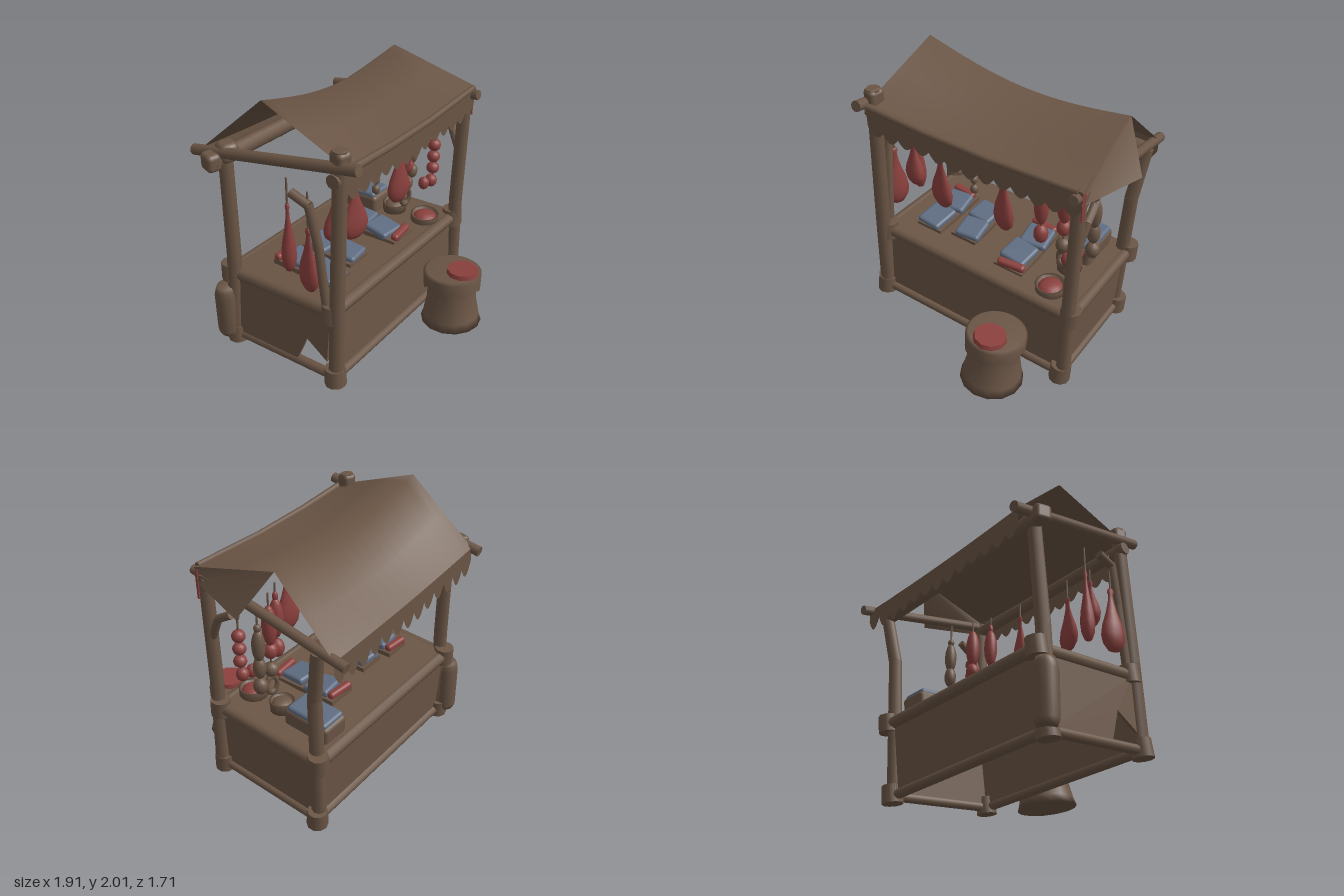
import * as THREE from 'three';
import { RoundedBoxGeometry } from 'three/addons/geometries/RoundedBoxGeometry.js';

const mat = (name, color) => new THREE.MeshStandardMaterial({ name, color, side: THREE.DoubleSide });
const v = (x, y, z) => new THREE.Vector3(x, y, z);

export function createModel() {
  const wood = mat('brown wood and canvas', 0x6a5545);
  const meat = mat('red meat', 0x8a403d);
  const fish = mat('blue fish', 0x5f6d82);
  const root = new THREE.Group();
  root.name = 'marketStall';

  // the stall stands turned and slightly tilted, so it has its own frame
  const U = v(0.953, -0.06, -0.296).normalize();
  const V = v(0.341, 0.077, 0.936).normalize();
  const W = V.clone().cross(U).normalize();
  V.copy(U).cross(W);
  const stall = new THREE.Group();
  stall.name = 'counter';
  stall.quaternion.setFromRotationMatrix(new THREE.Matrix4().makeBasis(U, W, V));
  stall.position.set(0.015, 0.14, 0.09);
  root.add(stall);

  const add = (parent, name, geo, m, x = 0, y = 0, z = 0) => {
    const mesh = new THREE.Mesh(geo, m);
    mesh.name = name;
    mesh.position.set(x, y, z);
    parent.add(mesh);
    return mesh;
  };
  // log through a list of points
  const log = (parent, name, pts, r0, r1 = r0) => {
    const n = pts.length - 1;
    for (let i = 0; i < n; i++) {
      const d = pts[i + 1].clone().sub(pts[i]);
      const a = r0 + (r1 - r0) * i / n, b = r0 + (r1 - r0) * (i + 1) / n;
      const mesh = add(parent, name, new THREE.CylinderGeometry(b, a, d.length() + r0 * 0.3, 10), wood);
      mesh.position.copy(pts[i]).addScaledVector(d, 0.5);
      mesh.quaternion.setFromUnitVectors(v(0, 1, 0), d.normalize());
    }
  };
  // surface lofted through rows, each row a function of t in 0..1
  const sheet = (parent, name, n, rows) => {
    const pos = [], idx = [];
    rows.forEach((f) => { for (let i = 0; i <= n; i++) pos.push(...f(i / n).toArray()); });
    for (let r = 0; r < rows.length - 1; r++) {
      for (let i = 0; i < n; i++) {
        const a = r * (n + 1) + i, b = a + n + 1;
        idx.push(a, b, a + 1, a + 1, b, b + 1);
      }
    }
    const g = new THREE.BufferGeometry();
    g.setAttribute('position', new THREE.Float32BufferAttribute(pos, 3));
    g.setIndex(idx);
    g.computeVertexNormals();
    return add(parent, name, g, wood);
  };

  // counter: corner collars, rails, panels and top
  const HX = 0.74, HZ = 0.43;
  for (const sx of [-1, 1]) for (const sz of [-1, 1]) for (const w of [0, 0.505]) {
    add(stall, 'postCollar', new THREE.CylinderGeometry(0.07, 0.074, 0.125, 10), wood, sx * HX, w, sz * HZ);
  }
  for (const [w, r] of [[-0.01, 0.034], [0.5, 0.045]]) {
    for (const s of [-1, 1]) {
      log(stall, 'longRail', [v(-HX, w, s * HZ), v(HX, w, s * HZ)], r);
      log(stall, 'endRail', [v(s * HX, w, -HZ), v(s * HX, w, HZ)], r);
    }
  }
  for (const s of [-1, 1]) {
    add(stall, 'longPanel', new THREE.BoxGeometry(1.44, 0.5, 0.025), wood, 0, 0.245, s * 0.42);
  }
  add(stall, 'leftPanel', new THREE.BoxGeometry(0.025, 0.5, 0.84), wood, 0.73, 0.245, 0);
  const torn = new THREE.Shape([[-0.42, 0], [0.12, 0], [0.22, 0.22], [0.38, 0.1], [0.42, 0.48], [-0.42, 0.48]]
    .map(([x, y]) => new THREE.Vector2(x, y)));
  add(stall, 'tornPanel', new THREE.ExtrudeGeometry(torn, { depth: 0.02, bevelEnabled: false }), wood, -0.74, 0, 0)
    .rotation.y = -Math.PI / 2;
  add(stall, 'counterTop', new THREE.BoxGeometry(1.46, 0.04, 0.86), wood, 0, 0.52, 0);

  // trays with goods laid from back to front: [material, length]
  const tray = (u, z, wide, pieces) => {
    const long = pieces.reduce((s, p) => s + p[1], 0);
    const g = new THREE.Group();
    g.name = 'tray';
    g.position.set(u, 0.56, z);
    g.rotation.x = 0.07;
    stall.add(g);
    add(g, 'trayBoard', new THREE.BoxGeometry(wide, 0.035, long), wood);
    let at = -long / 2;
    pieces.forEach(([m, len], i) => {
      const p = add(g, 'trayGoods', new RoundedBoxGeometry(wide * 0.92, 0.055, len * 0.95, 3, 0.022), m,
        (i % 2 ? 0.01 : -0.01), 0.032, at + len / 2);
      p.rotation.set(0.1, 0.1 * (i % 2 ? 1 : -1), 0);
      at += len;
    });
  };
  tray(-0.48, 0.06, 0.2, [[meat, 0.06], [fish, 0.2], [fish, 0.23]]);
  tray(-0.22, 0.06, 0.2, [[fish, 0.2], [fish, 0.2]]);
  tray(0.2, 0.07, 0.22, [[meat, 0.06], [fish, 0.21], [fish, 0.21], [meat, 0.06]]);
  add(stall, 'crate', new RoundedBoxGeometry(0.22, 0.14, 0.36, 2, 0.03), wood, 0.51, 0.59, -0.215);
  add(stall, 'crateFish', new RoundedBoxGeometry(0.2, 0.05, 0.32, 3, 0.022), fish, 0.51, 0.66, -0.215);

  // bowls
  const bowlProfile = [[0, 0], [0.1, 0], [0.105, 0.085], [0.088, 0.085], [0.08, 0.05], [0, 0.05]]
    .map(([x, y]) => new THREE.Vector2(x, y));
  for (const [x, y, z, m, s] of [[0.63, 0.635, 0.19, meat, 1], [0.55, 0.65, -0.06, wood, 0.85]]) {
    add(root, 'bowl', new THREE.LatheGeometry(bowlProfile, 14), wood, x, y, z).scale.setScalar(s);
    add(root, 'bowlFilling', new THREE.SphereGeometry(0.085 * s, 12, 8), m, x, y + 0.06 * s, z).scale.y = 0.45;
  }

  // posts
  log(root, 'backRightPost', [v(-0.835, 0.12, -0.1), v(-0.8, 0.8, -0.1), v(-0.78, 1.6, -0.14)], 0.052, 0.047);
  log(root, 'frontRightPost', [v(-0.555, 0.18, 0.72), v(-0.54, 0.8, 0.71), v(-0.5, 1.87, 0.69)], 0.054, 0.047);
  log(root, 'frontLeftPost', [v(0.87, 0.1, 0.275), v(0.87, 0.8, 0.25), v(0.89, 1.64, 0.235)], 0.05, 0.045);
  log(root, 'backLeftPost', [v(0.57, 0.03, -0.53), v(0.61, 1.05, -0.565), v(0.63, 1.42, -0.64)], 0.052, 0.045);
  add(root, 'postCap', new RoundedBoxGeometry(0.1, 0.12, 0.11, 2, 0.03), wood, -0.5, 1.82, 0.69);

  // roof logs and braces
  log(root, 'backLog', [v(-0.88, 1.54, -0.13), v(0.6, 1.42, -0.62)], 0.055);
  log(root, 'frontLog', [v(-0.56, 1.7, 0.7), v(0.92, 1.58, 0.22)], 0.045);
  log(root, 'rightEndLog', [v(-0.89, 1.54, -0.33), v(-0.485, 1.81, 0.83)], 0.037);
  log(root, 'leftEndLog', [v(0.57, 1.4, -0.84), v(0.92, 1.65, 0.32)], 0.034);
  log(root, 'brace', [v(-0.57, 0.74, 0.64), v(-0.59, 1.2, 0.59), v(-0.62, 1.48, 0.54), v(-0.66, 1.52, 0.42)], 0.03);
  log(root, 'hookArm', [v(0.88, 1.18, 0.23), v(0.87, 1.36, 0.14), v(0.83, 1.42, 0.04)], 0.028);
  add(root, 'logKnot', new RoundedBoxGeometry(0.1, 0.12, 0.12, 2, 0.03), wood, -0.88, 1.54, -0.14);
  add(root, 'postKnot', new RoundedBoxGeometry(0.13, 0.13, 0.13, 2, 0.04), wood, -0.77, 1.58, -0.13);

  // sagging canvas roof, smooth over the ridge
  const line = (a, b, sag) => (t) => a.clone().lerp(b, t).add(v(0, -sag * Math.sin(Math.PI * t), 0));
  const ridge = line(v(-0.66, 2.0, 0.13), v(0.72, 1.84, -0.34), 0.105);
  const front = line(v(-0.5, 1.78, 0.76), v(0.94, 1.69, 0.27), 0.03);
  const back = line(v(-0.86, 1.56, -0.29), v(0.61, 1.42, -0.78), 0.015);
  const mid = (f, g, drop) => (t) => f(t).lerp(g(t), 0.5).add(v(0, -drop * Math.sin(Math.PI * t), 0));
  sheet(root, 'canvasRoof', 16, [back, mid(ridge, back, 0.02), ridge, mid(front, ridge, 0.02), front]);

  // scalloped valances
  const scallop = (f, n, base, deep, uneven) => (t) =>
    f(t).add(v(0, -base - deep * Math.abs(Math.sin(Math.PI * n * t)) - uneven * Math.sin(t * 17), 0));
  sheet(root, 'frontValance', 104, [front, scallop(front, 13, 0.15, 0.05, 0.012)]);
  sheet(root, 'backValance', 104, [scallop(back, 13, 0.1, 0.08, 0.012), back]);
  log(root, 'rolledEave', [front(0.02), front(0.3), front(0.6), front(0.98)], 0.025, 0.02);
  sheet(root, 'sideFlap', 1, [line(v(0.94, 1.69, 0.27), v(0.72, 1.84, -0.34), 0),
    line(v(0.94, 1.59, 0.27), v(0.935, 1.55, -0.24), 0)]);
  add(root, 'redTrim', new THREE.BoxGeometry(0.008, 0.2, 0.025), meat, 0.936, 1.575, 0.254);

  // hanging hams
  const hamProfile = [[0, 0], [0.5, 0.03], [0.88, 0.13], [1, 0.26], [0.85, 0.42], [0.5, 0.62], [0.26, 0.8],
    [0.2, 0.9], [0.3, 0.95], [0.2, 1], [0, 1]].map(([x, y]) => new THREE.Vector2(x, y));
  for (const [x, y0, y1, z, rx, rz] of [[-0.4, 1.11, 1.46, 0.5, 0.085, 0.055], [-0.2, 1.0, 1.41, 0.43, 0.105, 0.045],
    [0.275, 1.02, 1.45, 0.29, 0.09, 0.045], [-0.615, 0.83, 1.3, 0.52, 0.05, 0.088], [-0.63, 0.86, 1.38, 0.32, 0.05, 0.05]]) {
    add(root, 'ham', new THREE.LatheGeometry(hamProfile, 14), meat, x, y0, z).scale.set(rx, y1 - y0, rz);
    log(root, 'hamString', [v(x, y1 - 0.02, z), v(x, 1.56, z)], 0.007);
  }

  // hanging strings: [y, radius, half height, material, side shift]
  const strand = (name, x, z, beads) => {
    log(root, 'string', [v(x, beads[beads.length - 1][0], z), v(x, 1.5, z)], 0.007);
    for (const [y, r, h, m, dx = 0] of beads) {
      add(root, name, new THREE.SphereGeometry(1, 12, 8), m, x + dx, y, z).scale.set(r, h, r);
    }
  };
  strand('bulb', 0.04, 0.34, [[1.47, 0.018, 0.03, wood], [1.39, 0.028, 0.035, wood], [1.31, 0.026, 0.03, wood],
    [1.235, 0.028, 0.035, wood]]);
  strand('sausage', 0.46, 0.13, [[1.4, 0.02, 0.04, meat], [1.24, 0.05, 0.15, meat], [1.01, 0.05, 0.07, meat]]);
  strand('sausage', 0.57, 0.03, [[1.37, 0.03, 0.04, meat], [1.26, 0.052, 0.15, meat], [1.075, 0.05, 0.06, meat],
    [0.93, 0.052, 0.055, wood]]);
  strand('onion', 0.72, -0.09, [[1.35, 0.025, 0.03, wood], [1.22, 0.045, 0.12, wood], [1.06, 0.045, 0.08, wood],
    [0.92, 0.05, 0.06, wood]]);
  strand('redLink', 0.76, 0.1, [[1.36, 0.016, 0.03, wood], [1.215, 0.047, 0.047, meat], [1.12, 0.047, 0.045, meat],
    [1.025, 0.047, 0.045, meat], [0.92, 0.04, 0.05, meat, -0.08], [0.92, 0.045, 0.05, meat, -0.01]]);
  add(root, 'sausageLoop', new THREE.TorusGeometry(0.04, 0.016, 8, 14), wood, 0.57, 0.81, 0.03).scale.y = 1.6;

  // sack tied beside the back post
  const sack = [[0, 0], [0.06, 0], [0.078, 0.04], [0.08, 0.34], [0.07, 0.39], [0.06, 0.42], [0, 0.42]]
    .map(([x, y]) => new THREE.Vector2(x, y));
  add(root, 'sack', new THREE.LatheGeometry(sack, 12), wood, -0.872, 0.14, -0.13);

  // chopping stump with a draped cover and a cut of meat
  const stump = new THREE.Group();
  stump.name = 'stump';
  stump.position.set(0.545, 0.08, 0.63);
  stump.quaternion.copy(stall.quaternion);
  root.add(stump);
  const trunk = [[0, 0], [0.218, 0], [0.2, 0.06], [0.178, 0.18], [0.17, 0.3], [0.175, 0.4], [0, 0.4]]
    .map(([x, y]) => new THREE.Vector2(x, y));
  add(stump, 'trunk', new THREE.LatheGeometry(trunk, 14), wood);
  const ring = (r, f) => (t) => v(r * Math.cos(t * 2 * Math.PI), f(t), -r * Math.sin(t * 2 * Math.PI));
  sheet(stump, 'cover', 56, [ring(0.001, () => 0.415), ring(0.185, () => 0.415), ring(0.205, () => 0.4),
    ring(0.202, (t) => 0.34 - 0.06 * Math.abs(Math.sin(Math.PI * 7 * t)))]);
  add(stump, 'meatCut', new THREE.CylinderGeometry(0.108, 0.115, 0.035, 10), meat, 0, 0.43, 0.08);
  return root;
}
